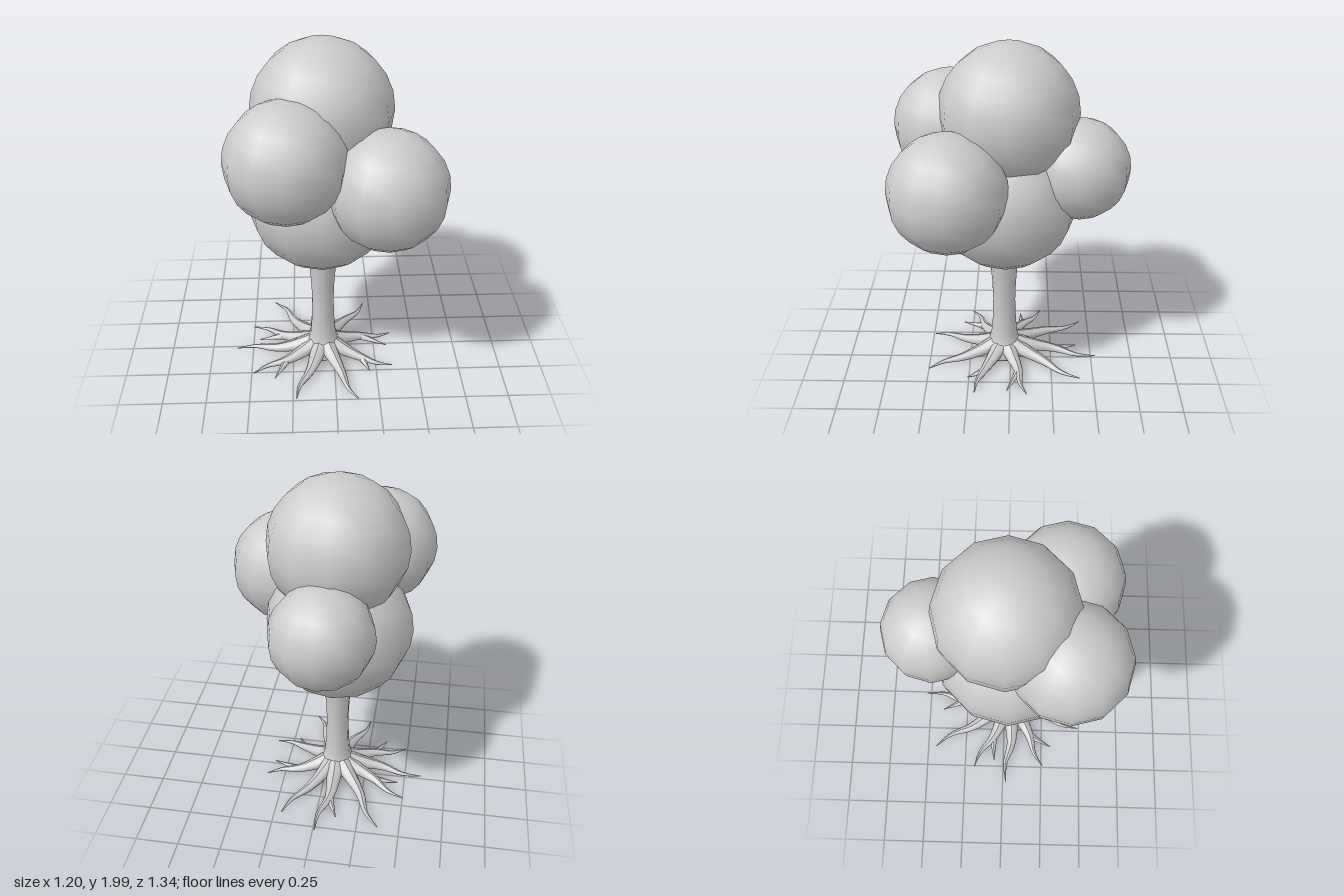
import * as THREE from 'three';

const material = new THREE.MeshStandardMaterial({ color: 0xcccccc });
const TRUNK = { x: -0.065, z: 0.04 };

// Tapered tube along ground points [x, z]; it rises towards the trunk and rests on the ground.
function rootGeometry(points, r0, r1, lift) {
  const curve = new THREE.CatmullRomCurve3(points.map(([x, z]) => new THREE.Vector3(x, 0, z)));
  const rings = 14, sides = 8;
  const geometry = new THREE.TubeGeometry(curve, rings, 1, sides, false);
  const pos = geometry.attributes.position;
  const v = new THREE.Vector3();
  for (let i = 0; i <= rings; i++) {
    const t = i / rings;
    const centre = curve.getPointAt(t);
    const radius = r1 + (r0 - r1) * Math.pow(1 - t, 1.15);
    const height = 0.01 + radius * 0.8 + lift * Math.pow(1 - t, 4);
    for (let j = 0; j <= sides; j++) {
      const k = i * (sides + 1) + j;
      v.fromBufferAttribute(pos, k).sub(centre).multiplyScalar(radius).add(centre);
      pos.setXYZ(k, v.x, Math.max(0.008, height + v.y * 0.85), v.z);
    }
  }
  geometry.computeVertexNormals();
  return geometry;
}

export function createModel() {
  const tree = new THREE.Group();
  tree.name = 'tree';
  const add = (parent, name, geometry) => {
    const mesh = new THREE.Mesh(geometry, material);
    mesh.name = name;
    parent.add(mesh);
    return mesh;
  };

  // Foliage balls: name, x, y, z, radius
  const foliage = new THREE.Group();
  foliage.name = 'foliage';
  tree.add(foliage);
  for (const [name, x, y, z, r] of [
    ['lowerFoliage', -0.07, 1.10, 0.03, 0.42],
    ['upperFoliage', -0.06, 1.61, 0.01, 0.39],
    ['frontRightFoliage', -0.255, 1.465, 0.345, 0.325],
    ['frontLeftFoliage', 0.275, 1.29, 0.33, 0.327],
    ['backFoliage', -0.035, 1.295, -0.385, 0.285],
  ]) add(foliage, name, new THREE.SphereGeometry(r, 12, 12)).position.set(x, y, z);

  // Trunk, flaring at the base and widening slightly at the top
  const profile = [
    [0, 0.01], [0.12, 0.01], [0.135, 0.035], [0.115, 0.075], [0.093, 0.11], [0.08, 0.16],
    [0.072, 0.25], [0.067, 0.4], [0.071, 0.52], [0.08, 0.64], [0.092, 0.76], [0, 0.78],
  ].map(([x, y]) => new THREE.Vector2(x, y));
  add(tree, 'trunk', new THREE.LatheGeometry(profile, 10)).position.set(TRUNK.x, 0, TRUNK.z);

  // Roots: a bend and a tip [x, z], then an optional side branch from the bend
  const roots = new THREE.Group();
  roots.name = 'roots';
  tree.add(roots);
  for (const { bend, tip, fork } of [
    { bend: [0.04, 0.30], tip: [0.13, 0.50] },
    { bend: [0.17, 0.16], tip: [0.35, 0.21], fork: [0.21, 0.26] },
    { bend: [0.17, -0.05], tip: [0.36, -0.10], fork: [0.33, 0.02] },
    { bend: [0.07, -0.20], tip: [0.21, -0.42] },
    { bend: [-0.06, -0.27], tip: [-0.01, -0.53], fork: [-0.12, -0.41] },
    { bend: [-0.24, -0.21], tip: [-0.375, -0.45] },
    { bend: [-0.31, -0.07], tip: [-0.505, -0.19], fork: [-0.46, -0.06] },
    { bend: [-0.35, 0.05], tip: [-0.60, 0.02] },
    { bend: [-0.29, 0.17], tip: [-0.49, 0.26], fork: [-0.36, 0.31] },
    { bend: [-0.15, 0.28], tip: [-0.23, 0.49] },
  ]) {
    const start = [TRUNK.x + (bend[0] - TRUNK.x) * 0.15, TRUNK.z + (bend[1] - TRUNK.z) * 0.15];
    // A slight sideways sway before the tip
    const dx = tip[0] - bend[0], dz = tip[1] - bend[1];
    const sway = [bend[0] + dx * 0.55 - dz * 0.08, bend[1] + dz * 0.55 + dx * 0.08];
    add(roots, 'root', rootGeometry([start, bend, sway, tip], 0.058, 0.003, 0.04));
    if (fork) {
      const mid = [bend[0] * 0.5 + fork[0] * 0.5, bend[1] * 0.5 + fork[1] * 0.5];
      add(roots, 'rootFork', rootGeometry([bend, mid, fork], 0.026, 0.003, 0));
    }
  }
  return tree;
}
